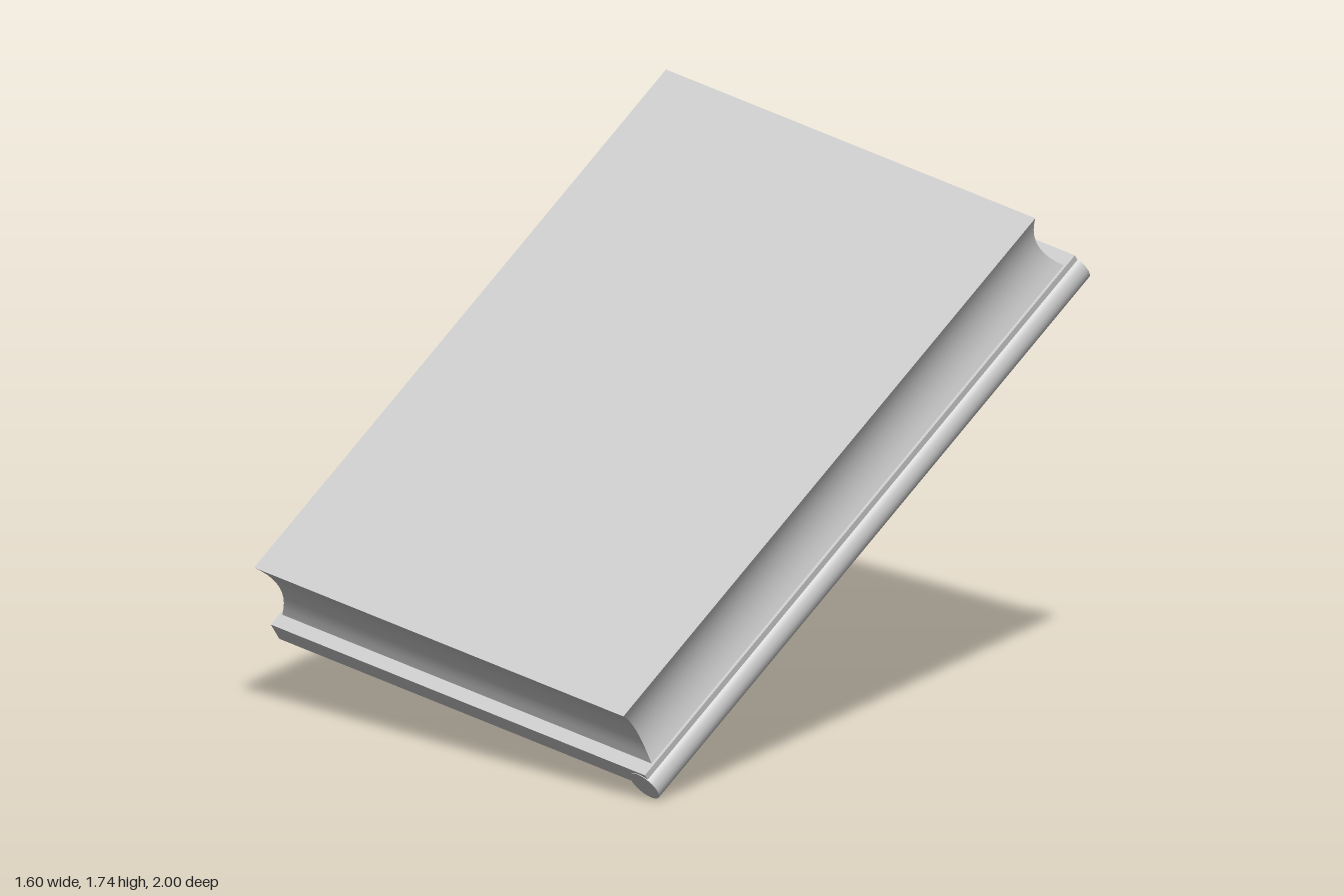
import * as THREE from 'three';

const WIDTH = 1.566, LENGTH = 2.055, DEPTH = 0.225; // block
const COVER = 0.068;                                // base plate thickness
const LIP = 0.045;                                  // overhang of plate and rod at both ends
const COVE = 0.026;                                 // hollow of the block's sides

const material = new THREE.MeshStandardMaterial({ color: 0xcccccc });

function part(parent, name, geometry, x, y, z) {
  const mesh = new THREE.Mesh(geometry, material);
  mesh.name = name;
  mesh.position.set(x, y, z);
  parent.add(mesh);
  return mesh;
}

// Box whose four sides curve inward between its sharp top and bottom edges
function covedBox(width, height, length, inset) {
  const geometry = new THREE.BoxGeometry(width, height, length, 1, 10, 1);
  const p = geometry.attributes.position;
  for (let i = 0; i < p.count; i++) {
    const t = (2 * p.getY(i)) / height;
    const d = inset * (1 - t * t);
    p.setX(i, p.getX(i) - Math.sign(p.getX(i)) * d);
    p.setZ(i, p.getZ(i) - Math.sign(p.getZ(i)) * d);
  }
  geometry.computeVertexNormals();
  return geometry;
}

export function createModel() {
  const model = new THREE.Group();
  model.name = 'tiltedBook';

  // Local frame: x across, y out of the top face, z toward the low end
  const book = new THREE.Group();
  book.name = 'book';
  const up = new THREE.Vector3(0.143, 0.778, 0.612).normalize();
  const low = new THREE.Vector3(0, -0.618, 0.786);
  low.addScaledVector(up, -low.dot(up)).normalize();
  const across = new THREE.Vector3().crossVectors(up, low);
  book.quaternion.setFromRotationMatrix(new THREE.Matrix4().makeBasis(across, up, low));
  book.position.set(0.025, 1.02, 0.121);
  model.add(book);

  // Page block with hollow sides
  part(book, 'pageBlock', covedBox(WIDTH, DEPTH, LENGTH, COVE), 0, -DEPTH / 2, 0);

  // Base plate
  const coverLength = LENGTH + 2 * LIP;
  part(book, 'basePlate', new THREE.BoxGeometry(WIDTH + 0.02, COVER, coverLength),
    0, -DEPTH - COVER / 2, 0);

  // Round rod along one long edge of the plate
  const rod = new THREE.CylinderGeometry(0.055, 0.055, coverLength + 0.004, 24);
  rod.rotateX(Math.PI / 2);
  part(book, 'edgeRod', rod, WIDTH / 2 - 0.024, -0.289, 0);

  return model;
}
